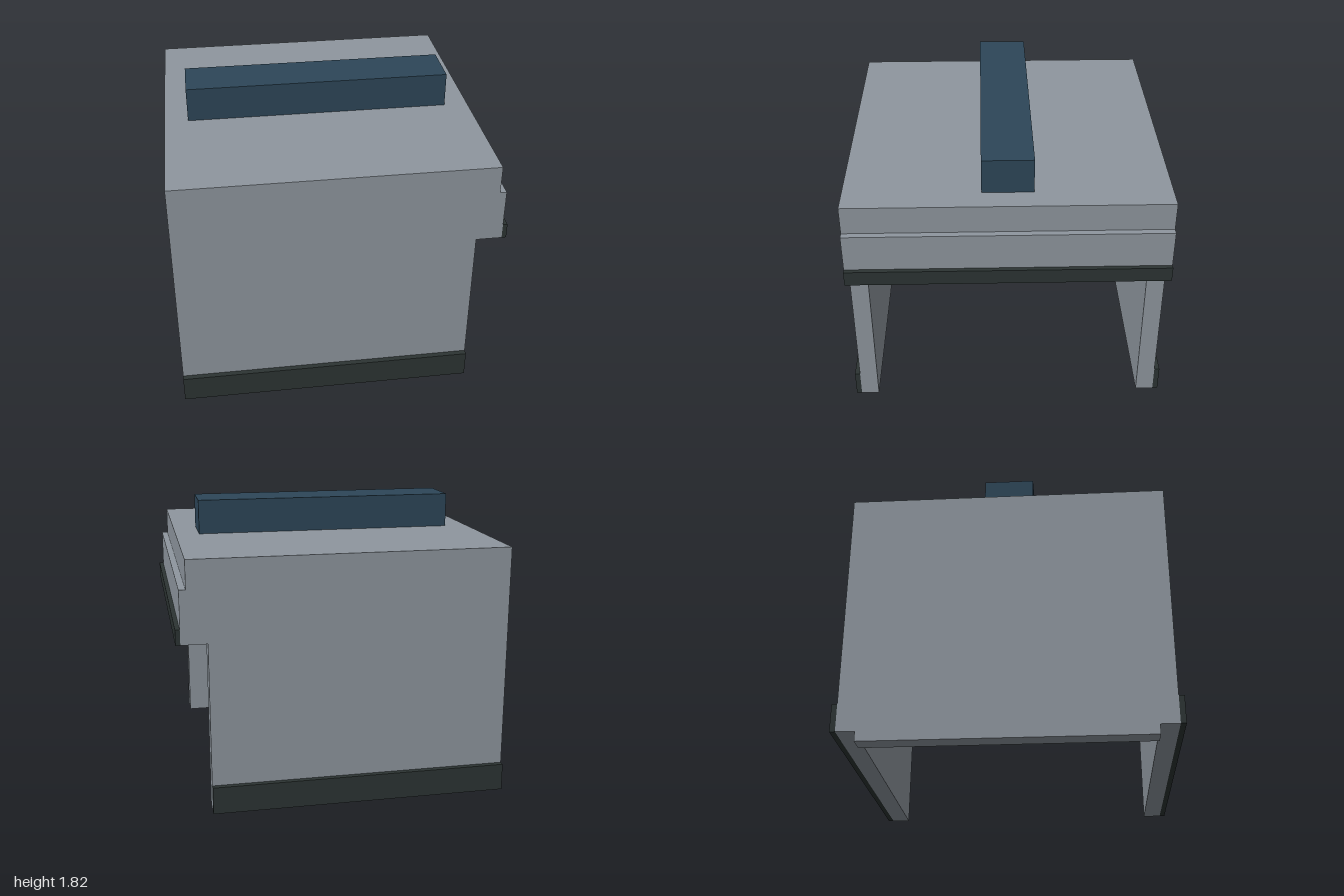
import * as THREE from 'three';

const material = (name, color) => {
  const m = new THREE.MeshStandardMaterial({ color });
  m.name = name;
  return m;
};

export function createModel() {
  const grey = material('panel grey', 0x8e969e);
  const dark = material('trim charcoal', 0x2c3433);
  const blue = material('block blue', 0x2d4658);

  const model = new THREE.Group();
  model.name = 'openShelter';

  // Box given by its limits along each axis
  const box = (name, mat, [x0, x1], [y0, y1], [z0, z1]) => {
    const mesh = new THREE.Mesh(new THREE.BoxGeometry(x1 - x0, y1 - y0, z1 - z0), mat);
    mesh.position.set((x0 + x1) / 2, (y0 + y1) / 2, (z0 + z1) / 2);
    mesh.name = name;
    model.add(mesh);
  };

  const outer = 0.965, inner = 0.853, opening = 0.815, ceiling = 1.43;

  // Roof slab and the block on top of it
  box('roof', grey, [-1, 0.932], [ceiling, 1.603], [-outer, outer]);
  box('roofBlock', blue, [-0.855, 0.783], [1.603, 1.817], [-0.154, 0.154]);

  // Closed end wall, reaching the ground
  box('endWall', grey, [-1, -0.89], [0, ceiling], [-inner, inner]);

  // Side walls with a dark skirting outside
  for (const [side, s] of [['front', 1], ['back', -1]]) {
    const span = (a, b) => [s * a, s * b].sort((p, q) => p - q);
    box(side + 'Wall', grey, [-1, opening], [0.06, ceiling], span(inner, outer));
    box(side + 'Skirting', dark, [-1, opening], [0.06, 0.228], span(outer, 0.998));
  }

  // Lintel over the open end with its dark lip
  box('lintel', grey, [opening, 0.972], [1.107, ceiling], [-outer, outer]);
  box('lintelLip', dark, [0.972, 1], [1.107, 1.2], [-outer, outer]);

  return model;
}
